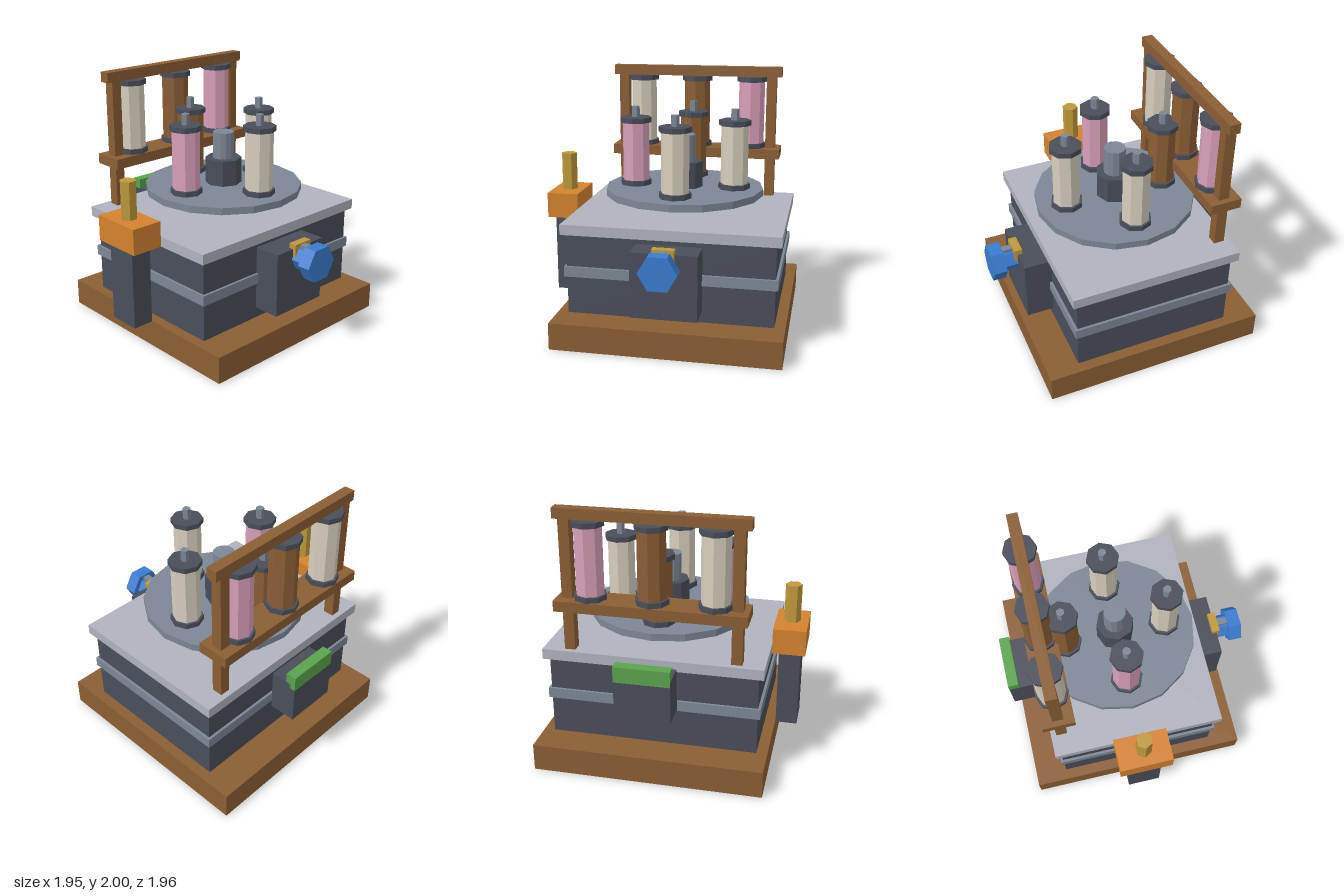
import * as THREE from 'three';

const mat = (name, color) => {
  const m = new THREE.MeshStandardMaterial({ color });
  m.name = name;
  return m;
};

export function createModel() {
  const wood = mat('wood', 0x8b5e34);
  const dark = mat('dark iron', 0x4a4e5a);
  const steel = mat('steel', 0x7d8796);
  const plate = mat('pale plate', 0xb0b3bf);
  const orange = mat('orange', 0xd4822e);
  const brass = mat('brass', 0xbf9a3c);
  const blue = mat('blue', 0x3a7bd0);
  const green = mat('green', 0x5aa34c);
  const pink = mat('pink thread', 0xd9a0ba);
  const cream = mat('cream thread', 0xd8cfbe);

  const root = new THREE.Group();
  root.name = 'spoolMachine';
  const CX = 0.1, CZ = -0.065; // machine axis

  const add = (name, geo, material, parent = root) => {
    const mesh = new THREE.Mesh(geo, material);
    mesh.name = name;
    parent.add(mesh);
    return mesh;
  };
  // Box given by its extents on each axis
  const box = (name, m, x0, x1, y0, y1, z0, z1) =>
    add(name, new THREE.BoxGeometry(x1 - x0, y1 - y0, z1 - z0)
      .translate((x0 + x1) / 2, (y0 + y1) / 2, (z0 + z1) / 2), m);
  // Upright faceted prism between two heights
  const prism = (name, m, r, sides, y0, y1, x, z, parent = root, turn = 0) =>
    add(name, new THREE.CylinderGeometry(r, r, y1 - y0, sides).rotateY(turn)
      .translate(x, (y0 + y1) / 2, z).toNonIndexed(), m, parent).geometry.computeVertexNormals();
  // Prism lying along z, with corners pointing left and right
  const lying = (name, m, r, sides, z0, z1, x, y) =>
    add(name, new THREE.CylinderGeometry(r, r, z1 - z0, sides).rotateY(Math.PI / 2).rotateX(Math.PI / 2)
      .translate(x, y, (z0 + z1) / 2).toNonIndexed(), m).geometry.computeVertexNormals();

  // Cabinet
  box('base', wood, CX - 0.872, CX + 0.872, 0, 0.21, CZ - 0.872, CZ + 0.872);
  box('body', dark, CX - 0.79, CX + 0.79, 0.21, 0.84, CZ - 0.62, CZ + 0.625);
  box('band', steel, CX - 0.81, CX + 0.81, 0.505, 0.585, CZ - 0.64, CZ + 0.645);
  box('topPlate', plate, CX - 0.83, CX + 0.83, 0.84, 0.92, CZ - 0.665, CZ + 0.665);

  // Turntable
  prism('turntable', steel, 0.625, 16, 1.05, 1.105, CX, CZ);
  prism('spindle', steel, 0.084, 12, 0.92, 1.52, CX, CZ);
  prism('hub', dark, 0.145, 8, 1.105, 1.31, CX, CZ);

  // Thread spools: flanges, wound thread, optional pin
  const spool = (name, thread, x, z, y0, y1, pin) => {
    const g = new THREE.Group();
    g.name = name;
    root.add(g);
    prism('thread', thread, 0.107, 8, y0 + 0.04, y1 - 0.04, x, z, g);
    prism('lowerFlange', dark, 0.125, 8, y0, y0 + 0.04, x, z, g);
    prism('upperFlange', dark, 0.125, 8, y1 - 0.04, y1, x, z, g);
    if (pin) prism('pin', steel, 0.032, 6, y1, y1 + 0.085, x, z, g, Math.PI / 6);
  };
  [cream, cream, wood, pink].forEach((thread, i) => {
    const a = i * Math.PI / 2;
    spool('turntableSpool', thread, CX + 0.395 * Math.sin(a), CZ + 0.395 * Math.cos(a), 1.105, 1.645, true);
  });

  // Rack
  const RZ = -0.645;
  for (const s of [-1, 1]) {
    const x = CX + s * 0.625;
    box('rackPost', wood, x - 0.04, x + 0.04, 0.92, 1.92, RZ - 0.042, RZ + 0.042);
  }
  box('rackTopRail', wood, CX - 0.707, CX + 0.707, 1.92, 2, RZ - 0.042, RZ + 0.042);
  box('rackShelf', wood, CX - 0.707, CX + 0.707, 1.25, 1.33, RZ - 0.123, RZ + 0.123);
  [cream, wood, pink].forEach((thread, i) =>
    spool('rackSpool', thread, CX + (i - 1) * 0.46, RZ, 1.33, 1.92, false));

  // Front gearbox and knob
  box('gearbox', dark, -0.15, 0.35, 0.295, 0.795, 0.55, 0.773);
  lying('knobShaft', blue, 0.095, 6, 0.77, 0.877, CX, 0.715);
  lying('knob', blue, 0.144, 6, 0.877, 0.98, CX, 0.715);
  box('knobClip', brass, CX - 0.083, CX + 0.083, 0.735, 0.835, 0.735, 0.797);
  box('knobKey', steel, CX - 0.027, CX + 0.027, 0.77, 0.823, 0.797, 0.88);

  // Side lever
  box('leverPost', dark, -0.94, -0.775, 0.21, 0.84, CZ - 0.13, CZ + 0.13);
  box('leverHead', orange, -0.98, -0.73, 0.84, 1.04, CZ - 0.207, CZ + 0.207);
  prism('leverHandle', brass, 0.063, 6, 1.04, 1.335, -0.855, CZ, root, Math.PI / 6);

  // Rear box with green block
  box('rearBox', dark, -0.105, 0.31, 0.55, 0.88, -0.978, -0.77);
  box('rearBlock', green, -0.105, 0.31, 0.84, 0.96, -0.98, -0.898);

  return root;
}
